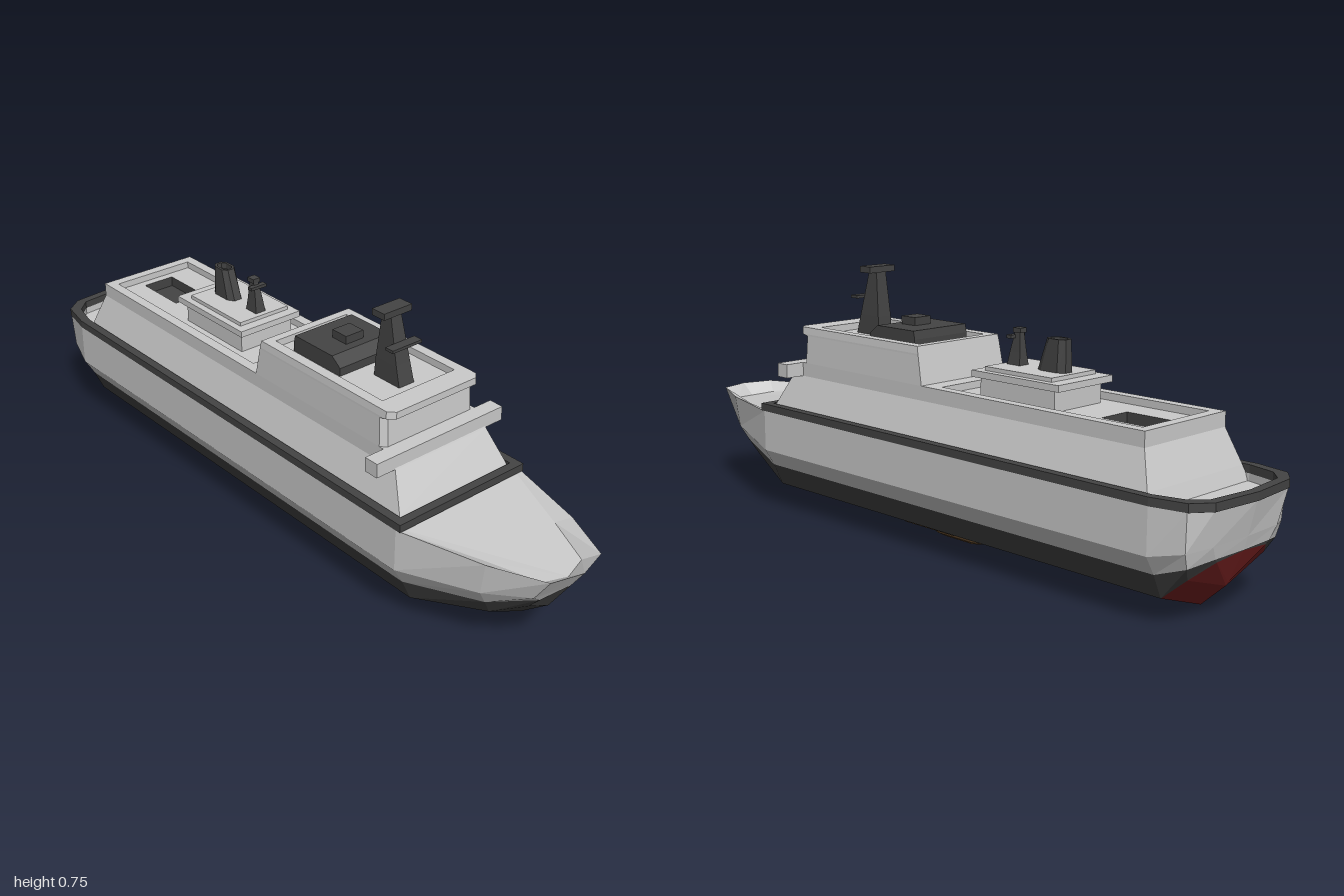
import * as THREE from 'three';

const paint = (color) => new THREE.MeshStandardMaterial({ color, flatShading: true });

export function createModel() {
  const ship = new THREE.Group();
  const grey = paint(0xcccccc), dark = paint(0x444444), red = paint(0x7a2222), bronze = paint(0x7a5a38);

  const add = (name, geometry, material, x = 0, y = 0, z = 0) => {
    const mesh = new THREE.Mesh(geometry, material);
    mesh.name = name;
    mesh.position.set(x, y, z);
    ship.add(mesh);
    return mesh;
  };
  const box = (name, material, hx, y0, y1, z0, z1) =>
    add(name, new THREE.BoxGeometry(hx * 2, y1 - y0, z1 - z0), material, 0, (y0 + y1) / 2, (z0 + z1) / 2);

  // Skin closed rings of points, listed from bottom to top, with optional flat caps
  const skin = (rings, { top = false, bottom = false, pick = () => true } = {}) => {
    const pos = [];
    const tri = (...pts) => pts.forEach((p) => pos.push(...p));
    const n = rings[0].length;
    for (let i = 0; i < rings.length - 1; i++) {
      for (let j = 0; j < n; j++) {
        if (!pick(j)) continue;
        const k = (j + 1) % n;
        const a = rings[i][j], b = rings[i][k], c = rings[i + 1][k], d = rings[i + 1][j];
        tri(a, b, c);
        tri(a, c, d);
      }
    }
    for (let j = 1; j < n - 1; j++) {
      const t = rings[rings.length - 1], b = rings[0];
      if (top) tri(t[0], t[j], t[j + 1]);
      if (bottom) tri(b[0], b[j + 1], b[j]);
    }
    const g = new THREE.BufferGeometry();
    g.setAttribute('position', new THREE.Float32BufferAttribute(pos, 3));
    g.computeVertexNormals();
    return g;
  };

  // Rectangular ring: height, half width, back z, front z, front corner cut
  const rect = ([y, hx, z0, z1, c = 0]) => [
    [hx, y, z1 - c], [hx, y, z0], [-hx, y, z0], [-hx, y, z1 - c], [-hx + c, y, z1], [hx - c, y, z1],
  ];
  const stack = (name, material, levels, top = true) =>
    add(name, skin(levels.map(rect), { top }), material);

  // Eight-sided ring with cut corners
  const octagon = ([y, hx, z0, z1, cut]) => [
    [hx, y, z1 - cut], [hx, y, z0 + cut], [hx / 2, y, z0], [-hx / 2, y, z0],
    [-hx, y, z0 + cut], [-hx, y, z1 - cut], [-hx / 2, y, z1], [hx / 2, y, z1],
  ];

  // Mirror a half outline running from bow to stern into a full ring
  const mirror = (half, end = half.length - 1) =>
    [...half, ...half.slice(1, end).reverse().map(([x, y, z]) => [-x, y, z])];

  // Hull lines, bow to stern
  const keel = mirror([[0, .155, .905], [0, .155, .905], [0, .085, .82], [0, .015, .59],
    [0, .015, -.85], [0, .08, -.92], [0, .09, -.925], [0, .09, -.925]]);
  const chine = mirror([[0, .155, .905], [.05, .165, .885], [.095, .12, .8], [.16, .07, .59],
    [.16, .07, -.85], [.155, .13, -.92], [.1, .17, -.96], [0, .178, -.965]]);
  const knuckle = mirror([[0, .25, .965], [.06, .212, .925], [.125, .17, .81], [.19, .135, .59],
    [.19, .135, -.85], [.18, .165, -.935], [.11, .18, -.963], [0, .18, -.966]]);
  const side = mirror([[0, .25, .965], [.09, .235, .93], [.15, .212, .815], [.22, .185, .59],
    [.22, .185, -.85], [.195, .205, -.94], [.13, .215, -.97], [0, .215, -.975]]);
  const railHalf = [[0, .305, 1], [.09, .305, .975], [.155, .305, .83], [.22, .305, .59],
    [.22, .305, -.85], [.2, .305, -.945], [.15, .305, -.983], [0, .305, -.996]];
  const rail = mirror(railHalf);
  const forward = (j) => j < 3 || j > 10;
  add('hullBottom', skin([keel, chine], { pick: (j) => !forward(j) }), red);
  add('bowBottom', skin([keel, chine], { pick: forward }), dark);
  add('waterlineBand', skin([chine, knuckle]), dark);
  add('hullSides', skin([knuckle, side, rail]), grey);

  // Foredeck sunk behind sloping bulwarks
  const bowEdge = mirror(railHalf.slice(0, 4), 4);
  const bowDeck = mirror([[0, .27, .955], [.07, .275, .935], [.125, .287, .8], [.205, .303, .59]], 4);
  add('foredeck', skin([bowEdge, bowDeck], { top: true }), grey);

  // Dark rail around the main deck
  const outline = (inset, front) => {
    const half = [[.22 - inset, front], [.22 - inset, -.85 + inset * .3],
      [.2 - inset, -.948 + inset], [.15 - inset * .6, -.986 + inset]];
    const ring = [...half, [0, -1 + inset], ...half.slice().reverse().map(([x, z]) => [-x, z])];
    return ring.map(([x, z]) => new THREE.Vector2(x, -z));
  };
  const railShape = new THREE.Shape(outline(0, .605));
  railShape.holes.push(new THREE.Path(outline(.025, .58)));
  const railGeo = new THREE.ExtrudeGeometry(railShape, { depth: .04, bevelEnabled: false }).rotateX(-Math.PI / 2);
  railGeo.scale(1, .55, 1);
  add('deckRail', railGeo, dark, 0, .305, 0);
  const bulwark = outline(.025, .58).map((p) => [p.x, .305, -p.y]);
  add('mainDeck', skin([bulwark, bulwark.map(([x, , z]) => [x, .285, z])], { top: true }), grey);

  // Main superstructure, with a sunken aft deck and a hatch well
  stack('superstructure', grey, [
    [.285, .2, -.838, .59], [.325, .19, -.825, .572], [.42, .16, -.79, .52], [.46, .16, -.79, .5],
    [.46, .13, -.76, -.085], [.44, .13, -.76, -.085], [.44, .05, -.735, -.57],
  ], false);
  stack('hatchWell', dark, [[.44, .05, -.735, -.57], [.41, .05, -.735, -.57]]);

  // Bridge block with a sunken roof, and the bridge wings
  stack('bridge', grey, [
    [.46, .16, -.035, .475, .015], [.54, .157, -.02, .47, .015], [.545, .157, -.019, .495, .018],
    [.565, .155, -.015, .495, .018], [.565, .125, .01, .43], [.545, .125, .01, .43],
  ]);
  box('bridgeWings', grey, .22, .42, .46, .475, .518);

  // Roof house and sensor box
  stack('roofHouse', dark, [[.545, .1, .055, .242], [.568, .1, .055, .242], [.592, .1, .06, .21]]);
  box('roofBox', dark, .03, .59, .615, .13, .185);

  // Main mast with crossbars
  stack('mainMast', dark, [[.545, .026, .29, .385], [.6, .024, .293, .37], [.74, .017, .307, .335]]);
  box('mastTopBar', dark, .047, .727, .745, .3, .345);
  box('mastLowerBar', dark, .05, .65, .658, .355, .383);
  box('mastLowerArm', dark, .012, .645, .658, .32, .37);

  // Aft deck house with overhanging roof
  box('aftHouse', grey, .09, .44, .5, -.45, -.19);
  stack('aftRoof', grey, [[.497, .09, -.45, -.19], [.497, .105, -.475, -.17], [.515, .105, -.475, -.17]]);
  box('aftRoofPanel', grey, .085, .515, .526, -.435, -.2);

  // Funnel with a hollow top
  add('funnel', skin([
    [.52, .025, -.418, -.32, .02], [.612, .022, -.415, -.352, .015],
    [.612, .015, -.408, -.359, .012], [.595, .015, -.408, -.359, .012],
  ].map(octagon), { top: true }), dark);

  // Aft mast
  stack('aftMast', dark, [[.52, .018, -.262, -.215], [.56, .013, -.258, -.222], [.622, .007, -.253, -.237]]);
  box('aftMastBar', dark, .027, .597, .606, -.238, -.222);
  box('aftMastTop', dark, .012, .612, .625, -.258, -.232);

  // Keel pod with its forward stem and small bilge fins
  add('keelPod', skin([
    [0, .022, -.11, .03, .02], [.012, .042, -.15, .07, .045], [.035, .052, -.165, .085, .05],
  ].map(octagon), { top: true, bottom: true }), bronze);
  box('keelStem', bronze, .008, .002, .02, .02, .18);
  for (const s of [-1, 1]) {
    const fin = add(s > 0 ? 'leftFin' : 'rightFin', new THREE.BoxGeometry(.014, .003, .2), bronze, s * .077, .039, .02);
    fin.rotation.z = -s * .7;
  }
  return ship;
}
